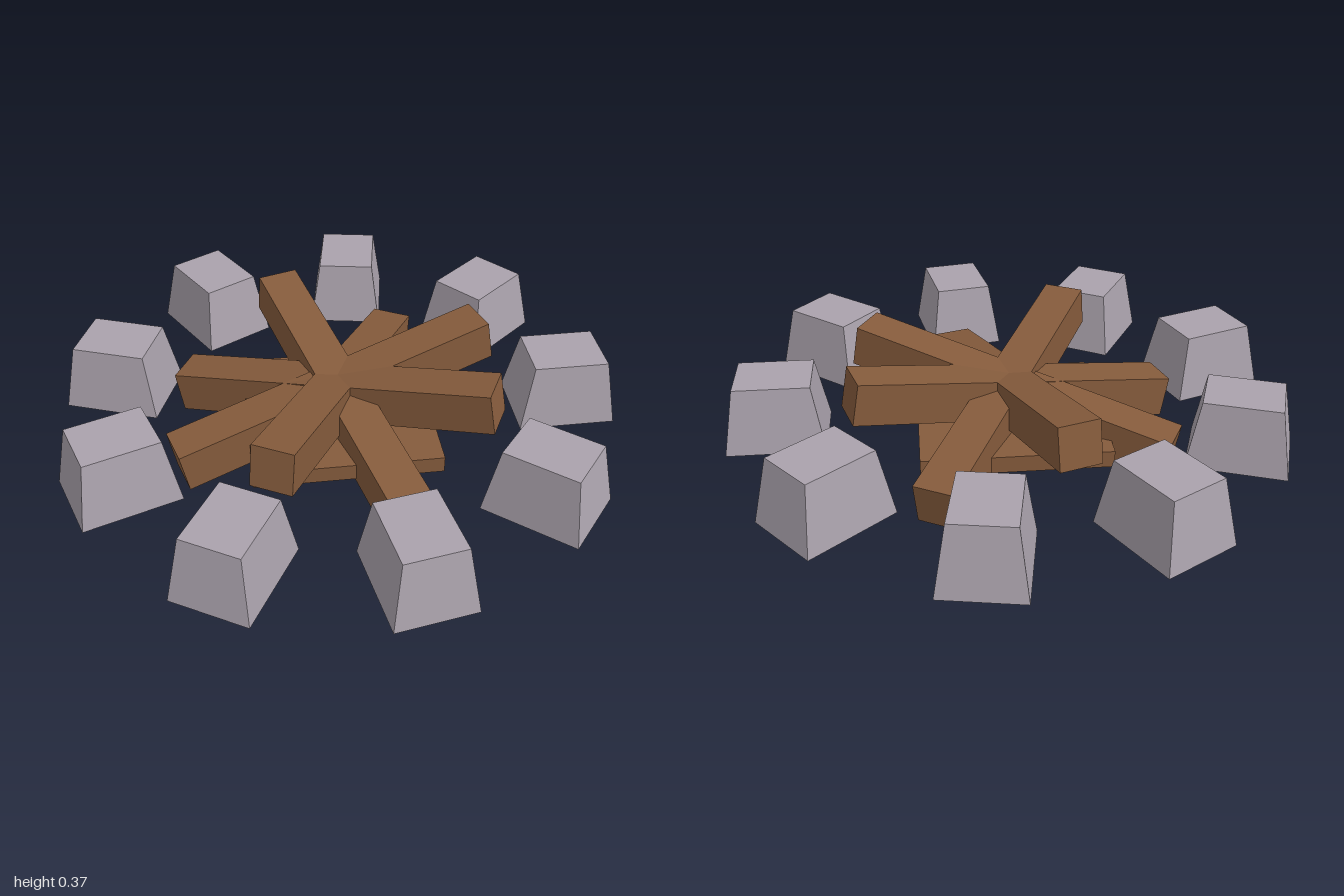
import * as THREE from 'three';

const CX = -0.008; // centre of the ring of stones

const stoneGrey = new THREE.MeshStandardMaterial({ color: 0xaaa2ac });
stoneGrey.name = 'stoneGrey';
const woodBrown = new THREE.MeshStandardMaterial({ color: 0x855b3c });
woodBrown.name = 'woodBrown';

// Box whose top face is narrowed
function taperedBox(w, h, d, topW, topD) {
  const geo = new THREE.BoxGeometry(w, h, d);
  const p = geo.attributes.position;
  for (let i = 0; i < p.count; i++) {
    if (p.getY(i) > 0) {
      p.setX(i, p.getX(i) * topW / w);
      p.setZ(i, p.getZ(i) * topD / d);
    }
  }
  geo.computeVertexNormals();
  return geo;
}

export function createModel() {
  const group = new THREE.Group();
  group.name = 'campfire';
  const add = (name, geo, mat, x, y, z) => {
    const mesh = new THREE.Mesh(geo, mat);
    mesh.name = name;
    mesh.position.set(x, y, z);
    group.add(mesh);
    return mesh;
  };

  // Ring of nine stones, long side pointing outwards
  const stoneGeo = taperedBox(0.345, 0.235, 0.275, 0.263, 0.207);
  for (let i = 0; i < 9; i++) {
    const a = i * Math.PI * 2 / 9;
    const stone = add('stone' + (i + 1), stoneGeo, stoneGrey,
      CX + 0.8155 * Math.cos(a), 0.1775, -0.8155 * Math.sin(a));
    stone.rotation.y = a;
  }

  // Flat wooden base under the logs
  add('base', new THREE.BoxGeometry(0.653, 0.06, 0.65), woodBrown, CX, 0.09, 0);

  // Four crossed logs; each angle points to the raised end
  const logGeo = new THREE.BoxGeometry(1.195, 0.15, 0.147);
  const tilt = THREE.MathUtils.degToRad(10.5);
  [-28, 17, 107, 242].forEach((deg, i) => {
    const a = THREE.MathUtils.degToRad(deg);
    const log = add('log' + (i + 1), logGeo, woodBrown,
      CX - 0.013 * Math.cos(a), 0.183, 0.013 * Math.sin(a));
    log.rotation.set(0, a, tilt, 'YZX');
  });

  return group;
}
